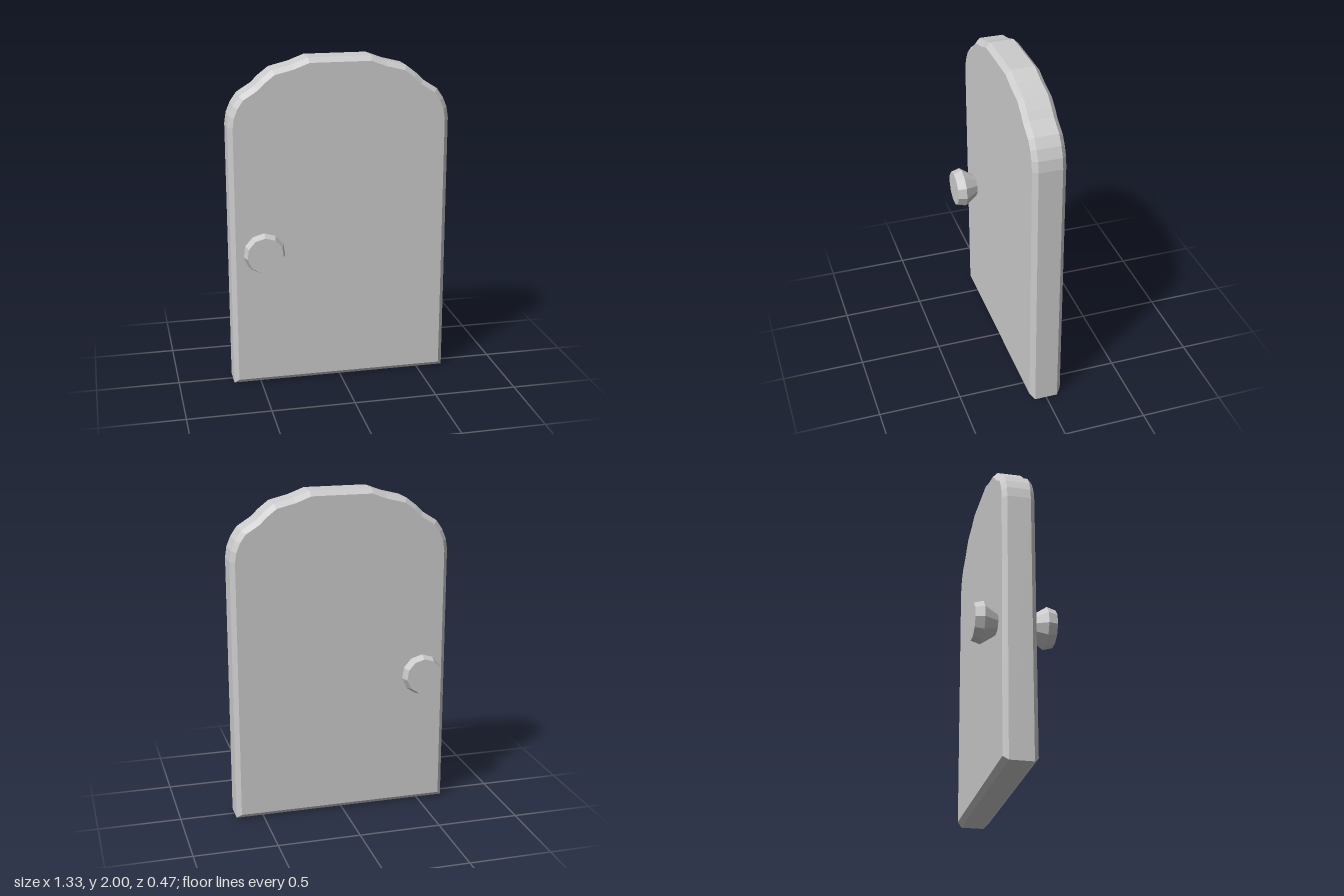
import * as THREE from 'three';

export function createModel() {
  const group = new THREE.Group();
  const grey = new THREE.MeshStandardMaterial({ color: 0xcccccc, flatShading: true });
  grey.name = 'light grey';

  // Door slab: mirrored, slightly wavy arch with a chamfered rim
  const side = [
    [0.665, 0], [0.665, 1.61], [0.655, 1.675], [0.63, 1.735], [0.592, 1.79],
    [0.505, 1.845], [0.465, 1.885], [0.4, 1.935], [0.283, 1.964], [0.188, 2],
  ];
  const mirrored = side.map(([x, y]) => [-x, y]).reverse();
  const outline = new THREE.Shape([...side, ...mirrored].map(([x, y]) => new THREE.Vector2(x, y)));
  const chamfer = 0.028, halfDepth = 0.098;
  const slab = new THREE.ExtrudeGeometry(outline, {
    depth: 2 * (halfDepth - chamfer),
    bevelEnabled: true,
    bevelSegments: 1,
    bevelSize: chamfer,
    bevelThickness: chamfer,
    bevelOffset: -chamfer,
  });
  slab.translate(0, 0, chamfer - halfDepth);
  const door = new THREE.Mesh(slab, grey);
  door.name = 'doorSlab';
  group.add(door);

  // Knobs: flared eleven-sided turnings, one on each face
  const profile = [[0, 0.08], [0.054, 0.08], [0.066, 0.098], [0.1245, 0.183], [0.109, 0.237], [0, 0.237]]
    .map(([r, h]) => new THREE.Vector2(r, h));
  const knob = new THREE.LatheGeometry(profile, 11, Math.PI).rotateX(Math.PI / 2);
  for (const [name, turn] of [['frontKnob', 0], ['backKnob', Math.PI]]) {
    const mesh = new THREE.Mesh(knob, grey);
    mesh.name = name;
    mesh.position.set(-0.479, 0.868, 0);
    mesh.rotation.y = turn;
    group.add(mesh);
  }
  return group;
}
